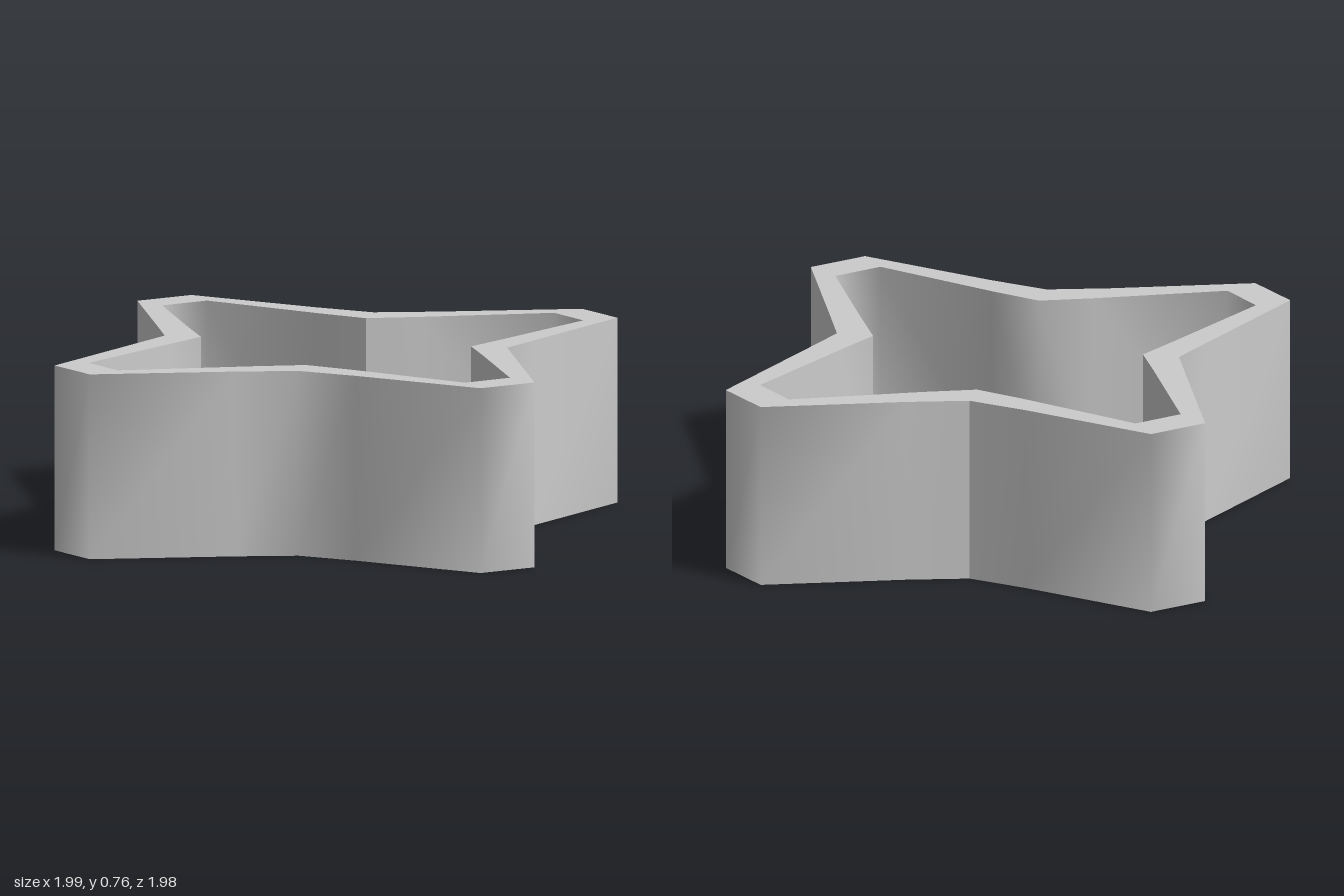
import * as THREE from 'three';

const HEIGHT = 0.76;

// One quadrant of each outline [x, z], from the back waist to the left waist
const OUTER = [[0, -0.73], [0.25, -0.8], [0.81, -0.99], [0.995, -0.807], [0.78, -0.2], [0.71, 0]];
const INNER = [[0, -0.583], [0.21, -0.66], [0.72, -0.87], [0.873, -0.715], [0.65, -0.2], [0.56, 0]];

// Mirror a quadrant into the full outline; the first point repeats at the end as a seam
function fullOutline(quadrant) {
  const half = [...quadrant, ...quadrant.slice(0, -1).reverse().map(([x, z]) => [x, -z])];
  return [...half, ...half.slice(0, -1).reverse().map(([x, z]) => [-x, z])];
}

// Upright smooth band following an outline, facing outward or inward
function wallGeometry(outline, inward) {
  const positions = [];
  const indices = [];
  outline.forEach(([x, z], i) => {
    positions.push(x, 0, z, x, HEIGHT, z);
    if (i === outline.length - 1) return;
    const a = 2 * i, b = a + 1, c = a + 2, d = a + 3;
    if (inward) indices.push(a, c, b, b, c, d);
    else indices.push(a, b, c, b, d, c);
  });
  const geometry = new THREE.BufferGeometry();
  geometry.setAttribute('position', new THREE.Float32BufferAttribute(positions, 3));
  geometry.setIndex(indices);
  geometry.computeVertexNormals();
  return geometry;
}

export function createModel() {
  const group = new THREE.Group();
  group.name = 'starRing';
  const material = new THREE.MeshStandardMaterial({ color: 0xcccccc });
  const add = (name, geometry) => {
    const mesh = new THREE.Mesh(geometry, material);
    mesh.name = name;
    group.add(mesh);
    return mesh;
  };

  const outer = fullOutline(OUTER);
  const inner = fullOutline(INNER);

  // Walls
  add('outerWall', wallGeometry(outer, false));
  add('innerWall', wallGeometry(inner, true));

  // Flat rims joining the walls at top and bottom
  const toPoints = (outline) => outline.slice(0, -1).map(([x, z]) => new THREE.Vector2(x, -z));
  const rim = new THREE.Shape(toPoints(outer));
  rim.holes.push(new THREE.Path(toPoints(inner)));
  add('topRim', new THREE.ShapeGeometry(rim).rotateX(-Math.PI / 2)).position.y = HEIGHT;
  add('bottomRim', new THREE.ShapeGeometry(rim).rotateX(Math.PI / 2));

  return group;
}
